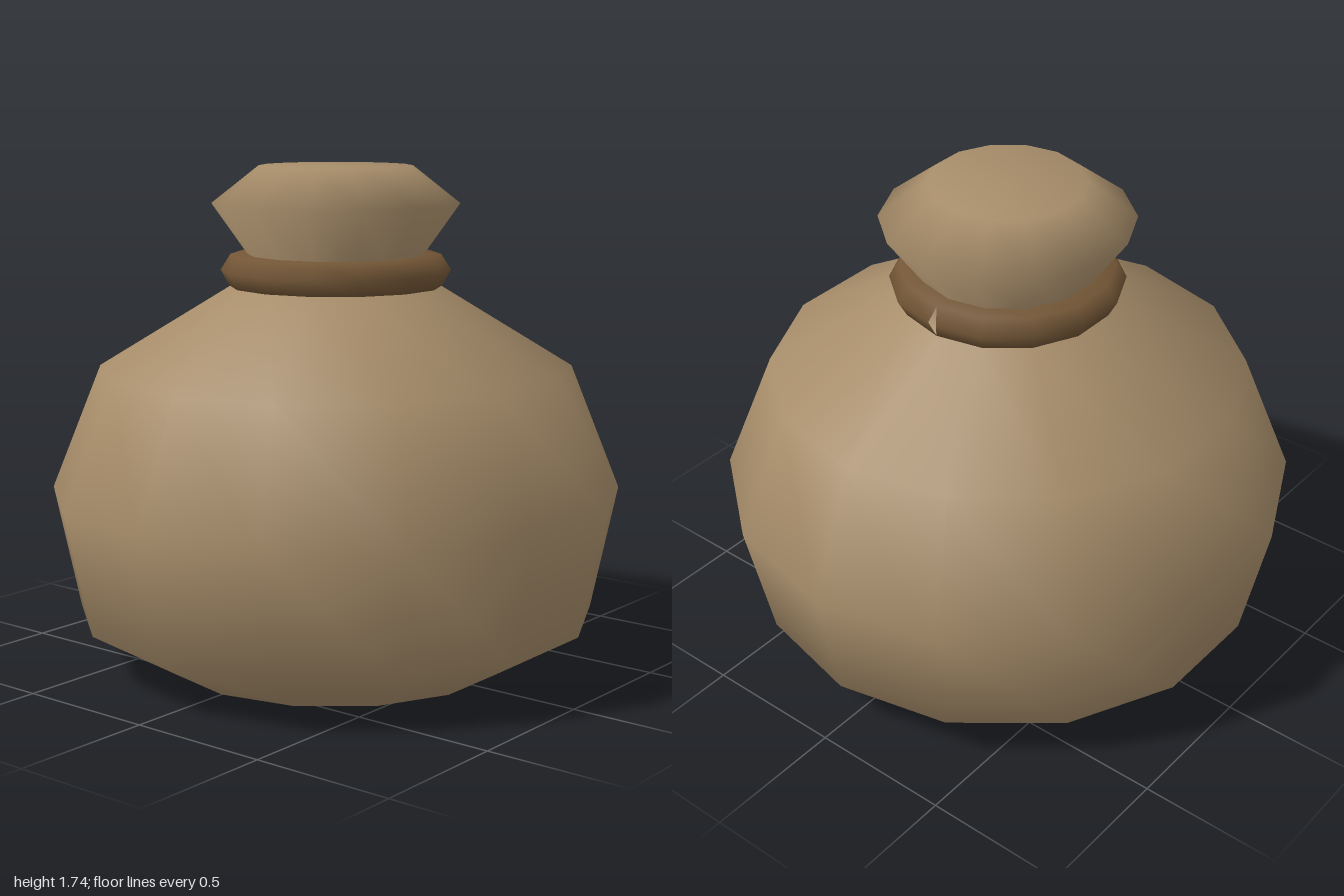
import * as THREE from 'three';

const SIDES = 14;

// Turns [radius, height] pairs into a 14-sided solid with a corner on +x
function turned(name, profile, material) {
  const points = profile.map(([r, y]) => new THREE.Vector2(r, y));
  const mesh = new THREE.Mesh(new THREE.LatheGeometry(points, SIDES, Math.PI / 2), material);
  mesh.name = name;
  return mesh;
}

export function createModel() {
  const group = new THREE.Group();
  group.name = 'tiedSack';
  const cloth = new THREE.MeshStandardMaterial({ color: 0xa68c69 });
  const cord = new THREE.MeshStandardMaterial({ color: 0x735636, side: THREE.DoubleSide });

  // Bulging bag, pinched neck and gathered top in one smooth skin
  group.add(turned('sack', [
    [0.61, 0], [0.91, 0.175], [1, 0.61], [0.825, 1.045], [0.365, 1.325],
    [0.275, 1.39], [0.43, 1.61], [0.265, 1.74], [0, 1.74],
  ], cloth));

  // Flat base with a sharp rim
  group.add(turned('base', [[0, 0], [0.61, 0]], cloth));

  // Cord around the neck
  const profile = [[0.28, 1.325], [0.37, 1.325], [0.4, 1.38], [0.365, 1.435], [0.28, 1.435]];
  const tie = turned('neckCord', profile, cord);
  // Pull the outer corners apart at +x, where the cord's ends meet
  const pos = tie.geometry.attributes.position;
  const outer = 2;
  pos.setZ(outer, -0.016);
  pos.setZ(SIDES * profile.length + outer, 0.016);
  for (const i of [outer, SIDES * profile.length + outer]) pos.setX(i, 0.39);
  group.add(tie);

  return group;
}
